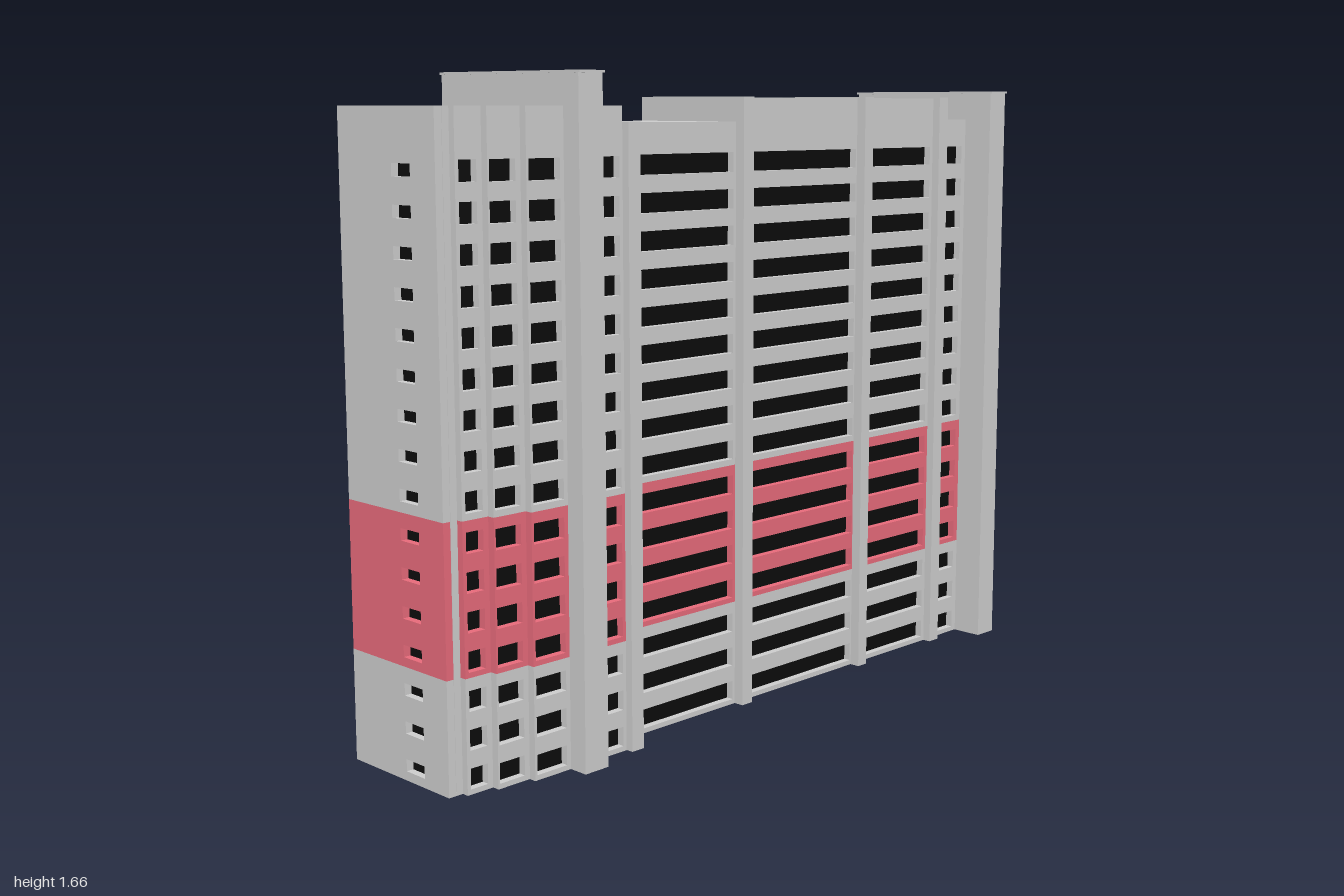
import * as THREE from 'three';

const grey = new THREE.MeshStandardMaterial({ color: 0xcccccc });
const red = new THREE.MeshStandardMaterial({ color: 0xe66a7a });
const black = new THREE.MeshStandardMaterial({ color: 0x0c0c0c });

const FLOORS = 16, PITCH = 0.0933, FIRST = 0.038;
const SKIN = 0.02;    // facade thickness, so also the window recess
const BASE = 0.008;   // thickness of the ground plate
const EAVE = 1.48;    // where the window rows stop
const BAND = [0.28, 0.65];

export function createModel() {
  const model = new THREE.Group();

  function box(name, x0, x1, y0, y1, z0, z1, mat = grey) {
    const mesh = new THREE.Mesh(new THREE.BoxGeometry(x1 - x0, y1 - y0, z1 - z0), mat);
    mesh.position.set((x0 + x1) / 2, (y0 + y1) / 2, (z0 + z1) / 2);
    mesh.name = name;
    model.add(mesh);
  }

  // Facade in three strips (grey, coloured band, grey), pierced by rows of windows
  function facade(name, u0, u1, top, windows, height) {
    const group = new THREE.Group();
    group.name = name;
    const strips = [[BASE, BAND[0], grey], [BAND[0], BAND[1], red], [BAND[1], top, grey]];
    for (const [y0, y1, mat] of strips) {
      const shape = rectangle(new THREE.Shape(), u0, u1, y0, y1);
      for (let i = 0; i < FLOORS; i++) {
        const y = FIRST + i * PITCH;
        if (y < y0 || y > y1) continue;
        for (const [a, b] of windows) {
          shape.holes.push(rectangle(new THREE.Path(), a, b, y - height / 2, y + height / 2));
        }
      }
      const geometry = new THREE.ExtrudeGeometry(shape, { depth: SKIN, bevelEnabled: false });
      const mesh = new THREE.Mesh(geometry, mat);
      mesh.name = name + (mat === red ? 'Band' : 'Wall');
      group.add(mesh);
    }
    model.add(group);
    return group;
  }

  // Side wall with its dark interior; side is +1 (left, +x) or -1 (right, -x)
  function sideWall(side, x, z0, z1, windows) {
    const flip = ([a, b]) => (side > 0 ? [-b, -a] : [a, b]);
    const wall = facade('sideFacade', ...flip([z0, z1]), EAVE, windows.map(flip), 0.05);
    wall.rotation.y = side * Math.PI / 2;
    wall.position.x = side * (x - SKIN);
    const inner = side * (x - SKIN);
    box('darkInterior', Math.min(0, inner), Math.max(0, inner), BASE, EAVE, z0, z1, black);
  }

  // Ground plate and solid top storey of one section
  function caps(x0, x1, z0, z1, top) {
    box('groundPlate', x0, x1, 0, BASE, z0, z1);
    box('roofBlock', x0, x1, EAVE, top, z0, z1);
  }

  // Main block: long strip windows, alike on both sides
  const strips = [[0.055, 0.45], [-0.43, 0], [-0.76, -0.485], [-0.91, -0.82]];
  sideWall(1, 0.147, -0.93, 0.495, strips);
  sideWall(-1, 0.188, -0.93, 0.495, strips);
  caps(-0.188, 0.147, 0.045, 0.495, 1.54);
  caps(-0.188, 0.147, -0.81, 0.045, 1.6);
  caps(-0.188, 0.147, -0.93, -0.81, 1.54);

  // Front wing: stepped on the +x side, straight on the other
  const steps = [
    [0.205, 0.495, 0.79, [[0.505, 0.6], [0.69, 0.783]]],
    [0.185, 0.79, 0.885, [[0.805, 0.88]]],
    [0.165, 0.885, 0.96, [[0.9, 0.95]]],
  ];
  for (const [x, z0, z1, windows] of steps) {
    sideWall(1, x, z0, z1, windows);
    caps(-0.188, x, z0, z1, 1.58);
  }
  sideWall(-1, 0.188, 0.495, 0.96, [[0.505, 0.6], [0.725, 0.8], [0.835, 0.91]]);

  // Front end wall with a single column of small windows
  const end = facade('frontFacade', -0.22, 0.147, 1.58, [[-0.015, 0.055]], 0.03);
  end.position.z = 1 - SKIN;
  box('frontWall', -0.22, 0.147, 0, 1.58, 0.96, 0.979);
  box('frontWindowBacking', -0.02, 0.06, 0.01, 1.47, 0.97, 0.981, black);
  box('frontSill', -0.22, 0.147, 0, BASE, 0.979, 1);

  // Thin piers crossing the block
  box('pier', -0.2, 0.225, 0, 1.543, 0.455, 0.494);
  box('pier', -0.2, 0.175, 0, 1.603, 0.008, 0.046);
  box('pier', -0.2, 0.175, 0, 1.603, -0.47, -0.435);
  box('pier', -0.2, 0.17, 0, 1.603, -0.811, -0.772);

  // Tall cross slabs with a thin coping
  for (const [x0, x1, z0, z1, top] of [[-0.25, 0.264, 0.602, 0.68, 1.66], [-0.264, 0.24, -1, -0.925, 1.62]]) {
    box('crossSlab', x0 + 0.006, x1 - 0.006, 0, top - 0.006, z0 + 0.002, z1 - 0.002);
    box('coping', x0, x1, top - 0.006, top, z0, z1);
  }

  return model;
}

function rectangle(path, x0, x1, y0, y1) {
  path.moveTo(x0, y0);
  path.lineTo(x1, y0);
  path.lineTo(x1, y1);
  path.lineTo(x0, y1);
  path.closePath();
  return path;
}
